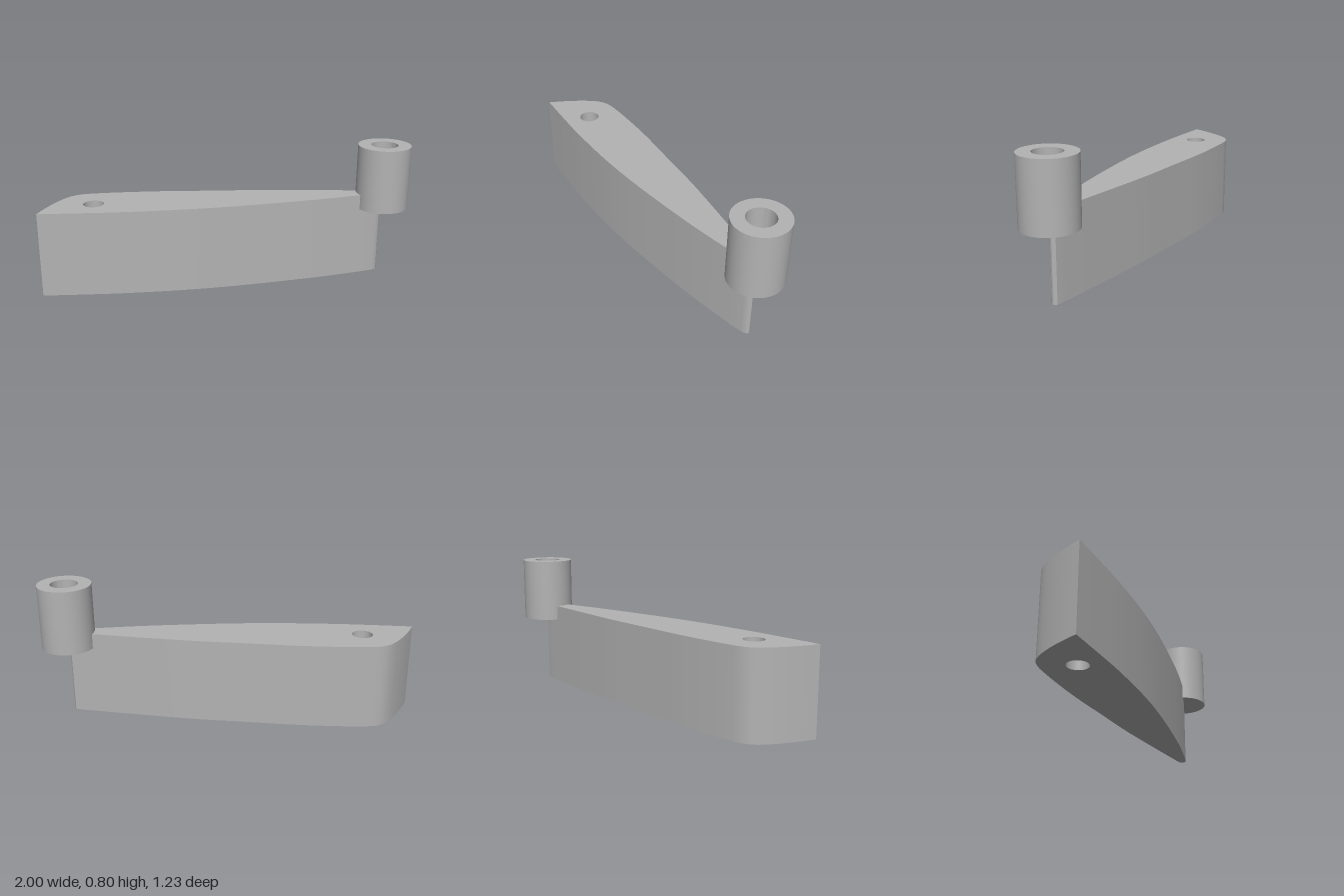
import * as THREE from 'three';
import { toCreasedNormals } from 'three/addons/utils/BufferGeometryUtils.js';

const vecs = (pts) => pts.map(([x, y]) => new THREE.Vector2(x, y));

export function createModel() {
  const model = new THREE.Group();
  const grey = new THREE.MeshStandardMaterial({ color: 0xb3b3b3 });
  grey.name = 'plain grey';

  const add = (name, geometry) => {
    const mesh = new THREE.Mesh(toCreasedNormals(geometry, 0.5), grey);
    mesh.name = name;
    model.add(mesh);
    return mesh;
  };

  // Tapered, curved arm: plan outline drawn with shape y = -z, then laid flat
  const outline = new THREE.Shape();
  outline.moveTo(-1, 0.45);
  outline.splineThru(vecs([[-0.8, 0.315], [-0.6, 0.185], [-0.3, 0.01], [0, -0.14], [0.4, -0.315], [0.69, -0.425], [0.79, -0.457]]));
  outline.quadraticCurveTo(0.83, -0.468, 0.84, -0.45);
  outline.lineTo(0.84, -0.43);
  outline.splineThru(vecs([[0.735, -0.342], [0.3, 0], [0, 0.214], [-0.24, 0.383], [-0.45, 0.515], [-0.58, 0.588]]));
  outline.bezierCurveTo(-0.66, 0.628, -0.7, 0.62, -0.76, 0.597);
  outline.quadraticCurveTo(-0.87, 0.55, -1, 0.45);

  // Through hole at the wide end
  const hole = new THREE.Path();
  hole.absarc(-0.66, 0.41, 0.06, 0, Math.PI * 2, true);
  outline.holes.push(hole);

  const arm = new THREE.ExtrudeGeometry(outline, { depth: 0.505, bevelEnabled: false, curveSegments: 16 });
  arm.rotateX(-Math.PI / 2);
  add('arm', arm);

  // Round boss with a blind bore opening upwards
  const profile = vecs([[0, 0.415], [0.157, 0.415], [0.157, 0.798], [0.08, 0.798], [0.08, 0.52], [0, 0.52]]);
  const boss = add('bossWithBore', new THREE.LatheGeometry(profile, 64));
  boss.position.set(0.843, 0, 0.455);

  return model;
}
